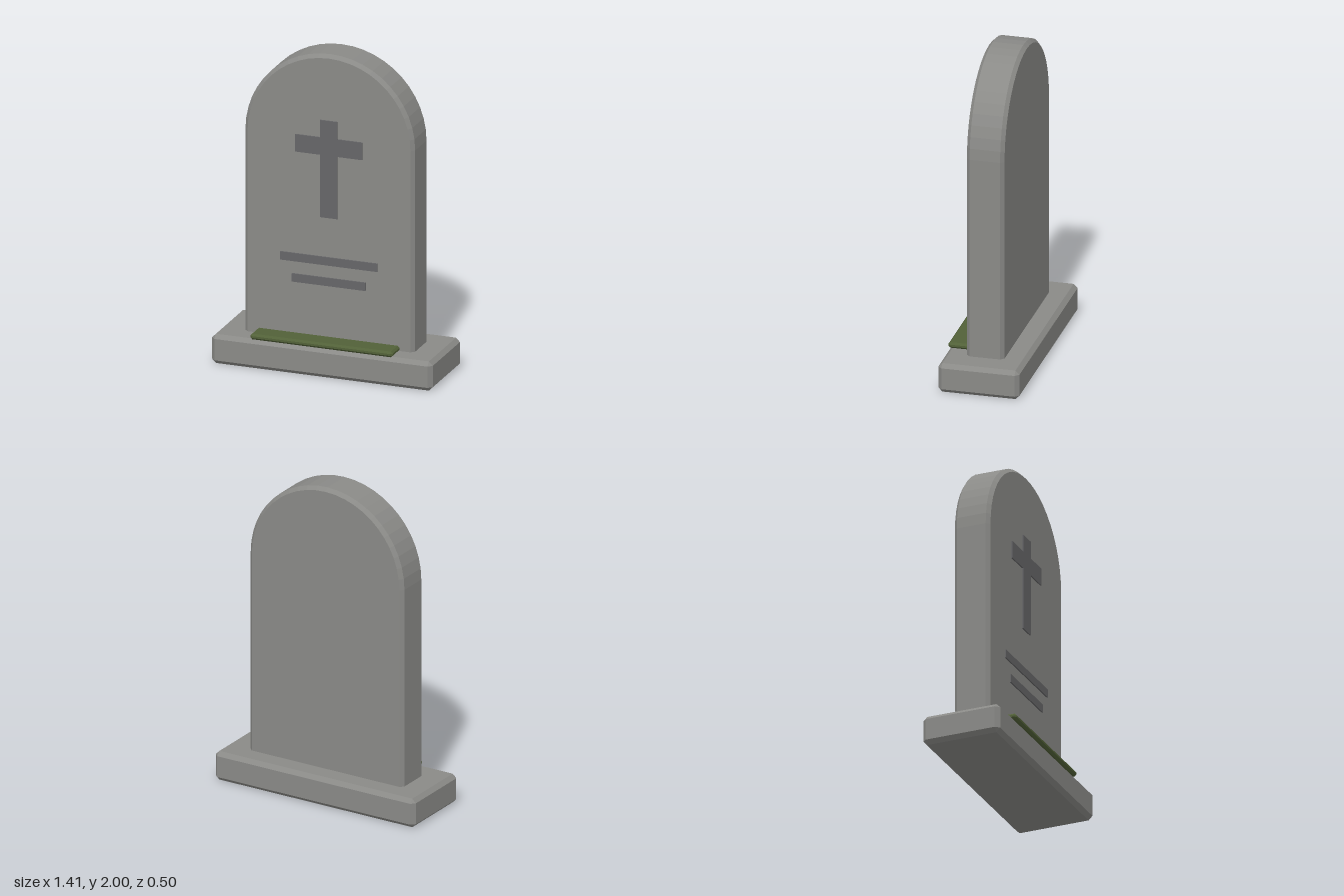
import * as THREE from 'three';
import { ConvexGeometry } from 'three/addons/geometries/ConvexGeometry.js';

// Box with every edge and corner cut by a flat chamfer c
function chamferBox(w, h, d, c) {
  const points = [];
  for (const x of [-1, 1]) for (const y of [-1, 1]) for (const z of [-1, 1]) {
    for (const [cx, cy, cz] of [[0, c, c], [c, 0, c], [c, c, 0]]) {
      points.push(new THREE.Vector3(x * (w / 2 - cx), y * (h / 2 - cy), z * (d / 2 - cz)));
    }
  }
  return new ConvexGeometry(points);
}

export function createModel() {
  const model = new THREE.Group();
  model.name = 'gravestone';
  const material = (color) => new THREE.MeshStandardMaterial({ color, flatShading: true });
  const stone = material(0x8a8a87);
  const carving = material(0x666668);
  const moss = material(0x526138);

  function add(name, geometry, mat, x, y, z, parent = model) {
    const mesh = new THREE.Mesh(geometry, mat);
    mesh.name = name;
    mesh.position.set(x, y, z);
    parent.add(mesh);
    return mesh;
  }

  // Plinth
  add('base', chamferBox(1.41, 0.185, 0.5, 0.025), stone, 0, 0.0925, 0);

  // Round-topped slab, its lower bevel sunk into the plinth
  const bevel = 0.022, radius = 0.542 - bevel, spring = 1.458;
  const outline = new THREE.Shape();
  outline.moveTo(-radius, 0.185);
  outline.lineTo(radius, 0.185);
  outline.absarc(0, spring, radius, 0, Math.PI, false);
  outline.closePath();
  const depth = 0.232 - 2 * bevel;
  const slab = new THREE.ExtrudeGeometry(outline, {
    depth, curveSegments: 12, bevelEnabled: true,
    bevelSize: bevel, bevelThickness: bevel, bevelSegments: 1,
  });
  add('headstone', slab, stone, 0, 0, -depth / 2);

  // Raised cross, one outline so that its arms share a face
  const cross = new THREE.Shape([
    [-0.055, 0.97], [0.055, 0.97], [0.055, 1.365], [0.215, 1.365],
    [0.215, 1.475], [0.055, 1.475], [0.055, 1.585], [-0.055, 1.585],
    [-0.055, 1.475], [-0.215, 1.475], [-0.215, 1.365], [-0.055, 1.365],
  ].map(([x, y]) => new THREE.Vector2(x, y)));
  add('cross', new THREE.ExtrudeGeometry(cross, { depth: 0.02, bevelEnabled: false }), carving, 0, 0, 0.104);

  // Two plain bars below the cross
  const bars = new THREE.Group();
  bars.name = 'inscriptionBars';
  model.add(bars);
  for (const [name, width, y] of [['upperBar', 0.62, 0.695], ['lowerBar', 0.47, 0.565]]) {
    add(name, new THREE.BoxGeometry(width, 0.052, 0.02), carving, 0, y, 0.114, bars);
  }

  // Moss strip at the foot of the slab
  add('moss', chamferBox(0.91, 0.036, 0.135, 0.012), moss, 0, 0.203, 0.183);

  return model;
}
